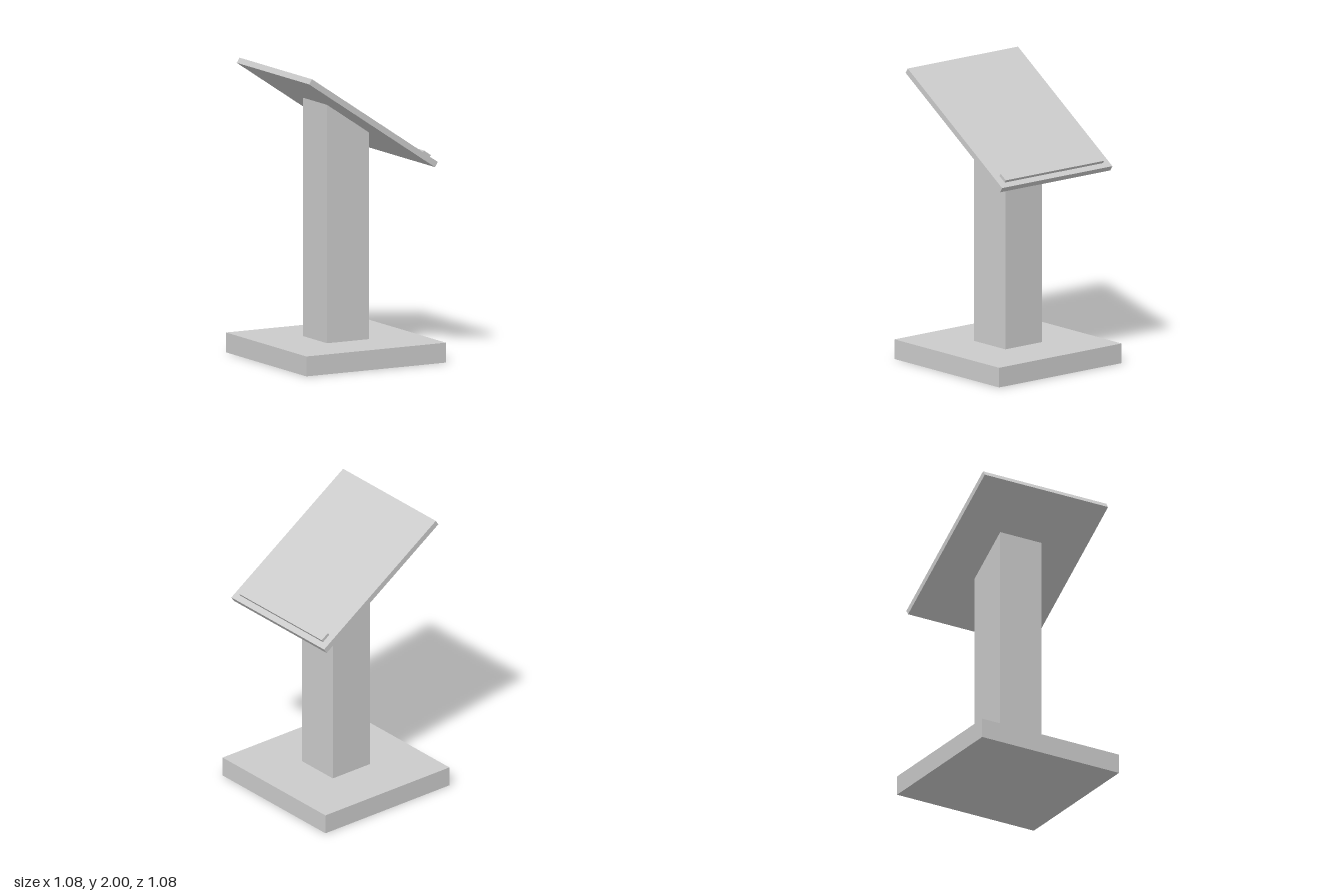
import * as THREE from 'three';

const material = new THREE.MeshStandardMaterial({ color: 0xcccccc, flatShading: true });

function box(name, w, h, d, x, y, z = 0) {
  const mesh = new THREE.Mesh(new THREE.BoxGeometry(w, h, d), material);
  mesh.name = name;
  mesh.position.set(x, y, z);
  return mesh;
}

export function createModel() {
  const model = new THREE.Group();
  model.name = 'lectern';

  const tilt = 0.587;      // slope of the reading board, falling toward +x
  const boardX = 0.01, boardY = 1.661, boardT = 0.04;

  // Square foot
  const baseH = 0.135;
  model.add(box('base', 1.076, baseH, 1.076, 0, baseH / 2));

  // Post with its top cut to the underside of the board
  const half = 0.162;
  const underside = (x) => boardY - boardT / 2 / Math.cos(tilt) - Math.tan(tilt) * (x - boardX);
  const profile = new THREE.Shape([
    new THREE.Vector2(-half, baseH),
    new THREE.Vector2(half, baseH),
    new THREE.Vector2(half, underside(half)),
    new THREE.Vector2(-half, underside(-half)),
  ]);
  const postGeometry = new THREE.ExtrudeGeometry(profile, { depth: half * 2, bevelEnabled: false });
  postGeometry.translate(0, 0, -half);
  const post = new THREE.Mesh(postGeometry, material);
  post.name = 'post';
  model.add(post);

  // Sloped board with the ledge that stops the book sliding off
  const desk = new THREE.Group();
  desk.name = 'desk';
  desk.position.set(boardX, boardY, 0);
  desk.rotation.z = -tilt;
  desk.add(box('readingBoard', 1.165, boardT, 0.97, 0, 0));
  desk.add(box('bookLedge', 0.065, 0.026, 0.864, 0.508, 0.028));
  model.add(desk);

  return model;
}
